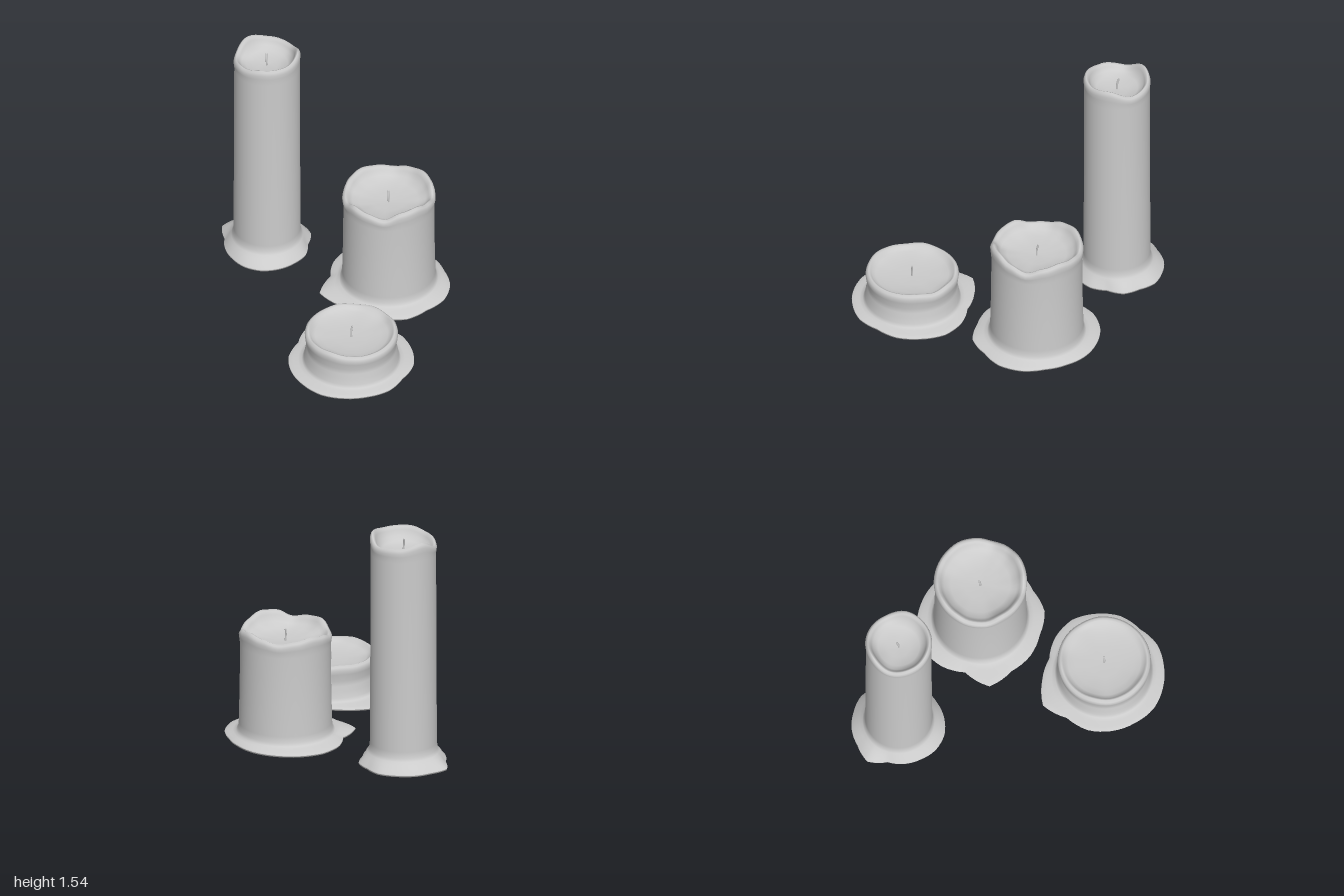
import * as THREE from 'three';

const SEG = 64;
const material = new THREE.MeshStandardMaterial({ color: 0xcccccc, side: THREE.DoubleSide });

// Value at turn t (0..1) from a closed list of samples; angle runs from +x towards +z
function around(list, t, smooth) {
  const p = t * list.length, i = Math.floor(p);
  let f = p - i;
  if (smooth) f = f * f * (3 - 2 * f);
  return THREE.MathUtils.lerp(list[i % list.length], list[(i + 1) % list.length], f);
}

// Surface through rings, each ring given by point(row, turn) -> [radius, height]
function ringSheet(rows, point) {
  const pos = [], index = [];
  rows.forEach((row, i) => {
    for (let j = 0; j < SEG; j++) {
      const [r, y] = point(row, j / SEG), a = (j / SEG) * Math.PI * 2;
      pos.push(r * Math.cos(a), y, r * Math.sin(a));
      if (i === rows.length - 1) continue;
      const k = (j + 1) % SEG, p = i * SEG, q = p + SEG;
      index.push(p + j, p + k, q + j, p + k, q + k, q + j);
    }
  });
  const g = new THREE.BufferGeometry();
  g.setAttribute('position', new THREE.Float32BufferAttribute(pos, 3));
  g.setIndex(index);
  g.computeVertexNormals();
  return g;
}

function add(group, name, geometry) {
  const mesh = new THREE.Mesh(geometry, material);
  mesh.name = name;
  group.add(mesh);
}

function candle({ name, x, z, radius: R, inner, floor, wick, lean, rim, puddle, skirt, waist }) {
  const group = new THREE.Group();
  group.name = name;
  group.position.set(x, 0, z);
  const top = rim.reduce((s, v) => s + v, 0) / rim.length;
  const depth = top - floor;

  // Rows: radius, height, share of rim wave, share of puddle outline
  const rows = [
    [0, floor, 0, 0],
    [inner * 0.4, floor + depth * 0.03, 0, 0],
    [inner * 0.75, floor + depth * 0.15, 0.1, 0],
    [inner * 0.92, floor + depth * 0.4, 0.4, 0],
    [inner, top - 0.025, 0.85, 0],
    [inner + (R - inner) * 0.25, top - 0.006, 1, 0],
    [inner + (R - inner) * 0.55, top, 1, 0],
    [R - 0.006, top - 0.01, 1, 0],
    [R, top - 0.03, 0.9, 0],
    [R - 0.003, top - 0.055, 0.6, 0],
    [waist, top - 0.1, 0.2, 0],
    [waist + 0.002, top * 0.5, 0, 0],
    [R, skirt + 0.06, 0, 0],
    [R + 0.004, skirt + 0.02, 0, 0],
    [R + 0.012, skirt, 0, 0.06],
    [R + 0.015, skirt * 0.75 + 0.005, 0, 0.3],
    [R, skirt * 0.35 + 0.015, 0, 0.7],
    [R, 0.024, 0, 0.97],
    [R, 0.018, 0, 1],
  ];
  add(group, 'waxBody', ringSheet(rows, ([r, y, wave, spread], t) => [
    THREE.MathUtils.lerp(r, around(puddle, t), spread),
    y + wave * (around(rim, t, true) - top),
  ]));

  // Thin edge and underside of the wax puddle
  const under = [[1, 0.018], [0.99, 0.008], [0.8, 0.006], [0, 0.006]];
  add(group, 'puddleUnderside', ringSheet(under, ([s, y], t) => [s * around(puddle, t), y]));

  // Slightly bent wick
  const path = new THREE.CatmullRomCurve3([
    new THREE.Vector3(0, floor - 0.01, 0),
    new THREE.Vector3(lean * 0.2, floor + wick * 0.5, 0.002),
    new THREE.Vector3(lean, floor + wick, -0.004),
  ]);
  add(group, 'wick', new THREE.TubeGeometry(path, 6, 0.006, 8));
  const tip = new THREE.SphereGeometry(0.006, 8, 6);
  tip.translate(lean, floor + wick, -0.004);
  add(group, 'wickTip', tip);
  return group;
}

export function createModel() {
  const model = new THREE.Group();
  model.name = 'candles';
  model.add(
    candle({
      name: 'tallCandle', x: -0.685, z: -0.01, radius: 0.212, inner: 0.175, waist: 0.207,
      floor: 1.43, wick: 0.08, lean: -0.012, skirt: 0.085,
      rim: [1.53, 1.53, 1.505, 1.48, 1.54, 1.51, 1.5, 1.55],
      puddle: [0.28, 0.29, 0.3, 0.295, 0.28, 0.275, 0.27, 0.325,
        0.3, 0.3, 0.295, 0.3, 0.28, 0.29, 0.26, 0.28],
    }),
    candle({
      name: 'mediumCandle', x: 0.11, z: -0.36, radius: 0.295, inner: 0.25, waist: 0.287,
      floor: 0.65, wick: 0.08, lean: -0.008, skirt: 0.05,
      rim: [0.77, 0.76, 0.715, 0.735, 0.745, 0.705, 0.71, 0.74,
        0.755, 0.74, 0.725, 0.745, 0.762, 0.745, 0.71, 0.74],
      puddle: [0.385, 0.41, 0.39, 0.4, 0.4, 0.455, 0.37, 0.4,
        0.415, 0.405, 0.39, 0.38, 0.365, 0.365, 0.39, 0.4],
    }),
    candle({
      name: 'shortCandle', x: 0.61, z: 0.34, radius: 0.295, inner: 0.25, waist: 0.283,
      floor: 0.215, wick: 0.08, lean: 0.002, skirt: 0.04,
      rim: [0.262, 0.26, 0.265, 0.275, 0.268, 0.26, 0.272, 0.265,
        0.265, 0.272, 0.262, 0.27, 0.26, 0.275, 0.27, 0.265],
      puddle: [0.385, 0.38, 0.385, 0.395, 0.39, 0.395, 0.4, 0.385,
        0.445, 0.395, 0.36, 0.39, 0.41, 0.4, 0.395, 0.37],
    }),
  );
  return model;
}
